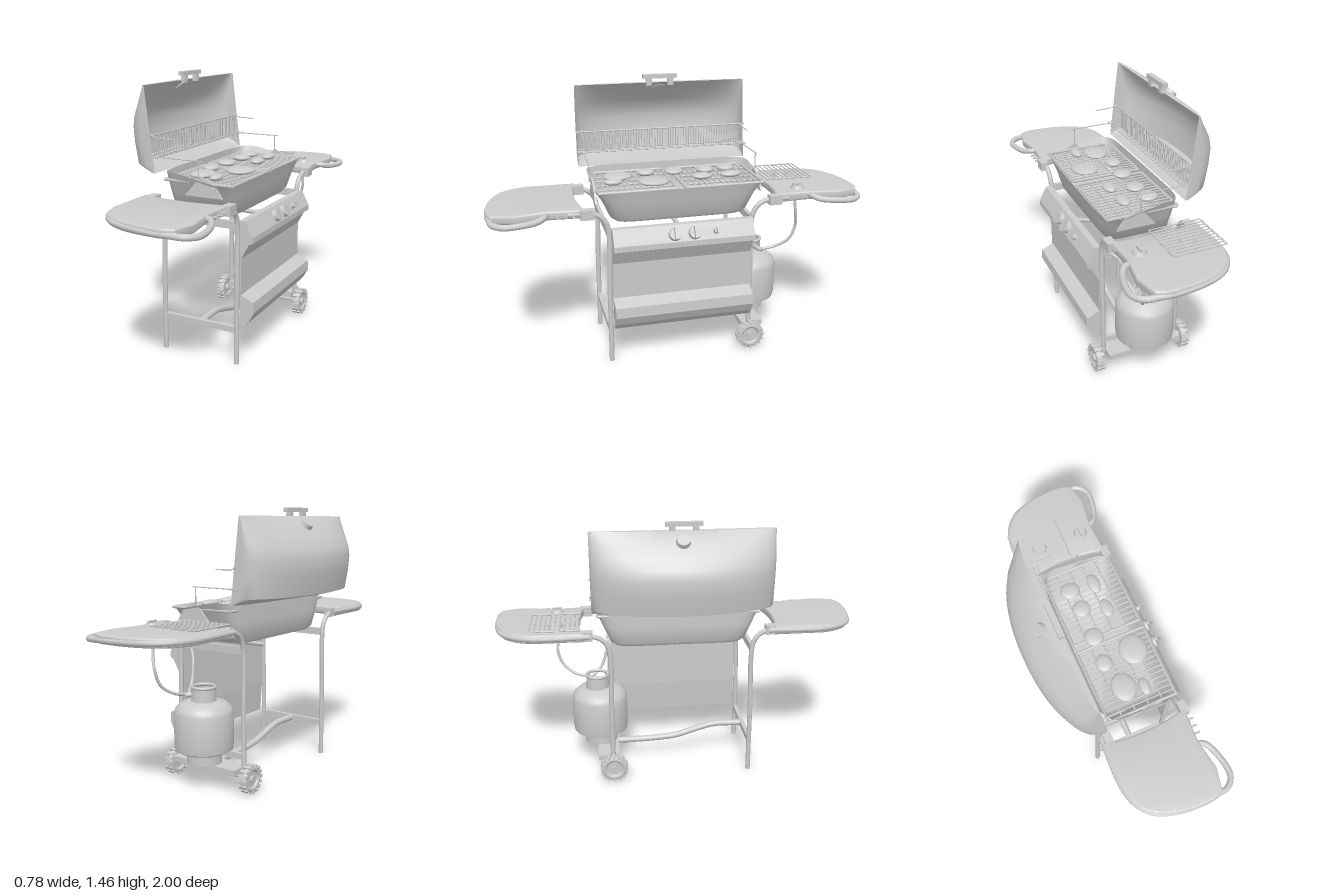
import * as THREE from 'three';
import { mergeGeometries, toCreasedNormals } from 'three/addons/utils/BufferGeometryUtils.js';

const V = (x, y, z) => new THREE.Vector3(x, y, z);
const grey = new THREE.MeshStandardMaterial({ color: 0xcccccc });
const thin = new THREE.MeshStandardMaterial({ color: 0xcccccc, side: THREE.DoubleSide });

export function createModel() {
  const root = new THREE.Group();
  const add = (name, geo, x = 0, y = 0, z = 0, mat = grey) => {
    const m = new THREE.Mesh(geo, mat);
    m.name = name;
    m.position.set(x, y, z);
    root.add(m);
    return m;
  };
  const box = (name, w, h, d, x, y, z) => add(name, new THREE.BoxGeometry(w, h, d), x, y, z);
  // Smooth bent pipe through points [x, y, z]
  const tube = (name, pts, r) => add(name, new THREE.TubeGeometry(
    new THREE.CatmullRomCurve3(pts.map(p => V(...p)), false, 'centripetal'), pts.length * 6, r, 10));
  // Straight rod between two points, as a geometry
  const rod = (a, b, r) => {
    const p = V(...a), q = V(...b), d = q.clone().sub(p);
    const g = new THREE.CylinderGeometry(r, r, d.length(), 6);
    g.applyQuaternion(new THREE.Quaternion().setFromUnitVectors(V(0, 1, 0), d.normalize()));
    return g.translate(...p.add(q).multiplyScalar(0.5).toArray());
  };
  // Skin across rings of equal length
  const loft = (rings, closed) => {
    const n = rings[0].length, idx = [];
    for (let i = 0; i < rings.length - 1; i++)
      for (let j = 0; j < (closed ? n : n - 1); j++) {
        const k = (j + 1) % n, a = i * n + j, b = i * n + k;
        idx.push(a, b, a + n, b, b + n, a + n);
      }
    const g = new THREE.BufferGeometry().setFromPoints(rings.flat());
    g.setIndex(idx);
    g.computeVertexNormals();
    return toCreasedNormals(g, 0.7);
  };

  // Open lid: profile pulled toward its rim plane near the ends
  const profile = [[-0.185, 1.415], [-0.215, 1.415], [-0.265, 1.375], [-0.335, 1.3], [-0.372, 1.25], [-0.388, 1.2],
    [-0.383, 1.12], [-0.36, 1.015], [-0.3, 1.0], [-0.2, 0.983], [-0.133, 0.98]];
  const lidRing = (u, s) => profile.map(([x, y]) => {
    const rim = -0.133 - 0.052 * (y - 0.98) / 0.435;
    return V(rim + s * (x - rim), y, 0.01 + u * 0.475);
  });
  const lidRings = [lidRing(-1, 0)];
  for (let i = 0; i <= 32; i++) {
    const u = -Math.cos(Math.PI * i / 32);
    lidRings.push(lidRing(u, 0.2 + 0.8 * Math.sqrt(Math.max(0, 1 - u * u))));
  }
  lidRings.push(lidRing(1, 0));
  add('lid', loft(lidRings, false), 0, 0, 0, thin);
  box('lidHandleGrip', 0.03, 0.022, 0.19, -0.2, 1.447, 0.012);
  for (const s of [-1, 1]) box('lidHandlePost', 0.025, 0.045, 0.03, -0.2, 1.42, 0.012 + s * 0.06);
  const gauge = add('lidThermometer', new THREE.CylinderGeometry(0.032, 0.038, 0.025, 20), -0.275, 1.375, 0);
  gauge.rotation.z = 0.75;

  // Firebox: rounded rectangular rings, rear rim higher than the front
  const tray = (y, x0, x1, hz, top) => Array.from({ length: 48 }, (_, i) => {
    const a = (i + 0.5) / 48 * Math.PI * 2, c = Math.cos(a), s = Math.sin(a);
    const x = (x0 + x1) / 2 + (x1 - x0) / 2 * Math.sign(c) * Math.abs(c) ** 0.25;
    const z = hz * Math.sign(s) * Math.abs(s) ** 0.25;
    return V(x, top ? y - 0.04 * THREE.MathUtils.smoothstep(x, 0.03, 0.17) : y, z);
  });
  add('firebox', loft([tray(0.77, 0.06, 0.07, 0.01), tray(0.77, -0.1, 0.235, 0.345), tray(0.79, -0.115, 0.25, 0.37),
    tray(0.88, -0.12, 0.27, 0.41), tray(0.985, -0.12, 0.29, 0.455, true)], true), 0, 0, 0, thin);
  for (const s of [-1, 1]) {
    const peak = new THREE.Shape([[0.02, 0.88], [0.11, 0.982], [0.19, 0.94], [0.23, 0.88]].map(p => new THREE.Vector2(...p)));
    add('fireboxEndBracket', new THREE.ExtrudeGeometry(peak, { depth: 0.01, bevelEnabled: false }), 0, 0, s * 0.445 - 0.005);
  }
  tube('burnerTube', [[0, 0.71, 0], [0.1, 0.71, 0], [0.2, 0.71, 0], [0.28, 0.73, 0]], 0.012);

  // Two cooking grates with frames
  for (const [z0, z1] of [[-0.435, -0.015], [0.03, 0.435]]) {
    const bars = [], y = 0.945, x0 = -0.105, x1 = 0.275;
    for (const x of [x0, x1]) bars.push(rod([x, y, z0], [x, y, z1], 0.008));
    for (const z of [z0, z1]) bars.push(rod([x0, y, z], [x1, y, z], 0.008));
    for (let i = 1; i < 14; i++) {
      const z = z0 + (z1 - z0) * i / 14;
      bars.push(rod([x0, y, z], [x1, y, z], 0.004));
    }
    for (let i = 1; i < 5; i++) bars.push(rod([x0 + 0.076 * i, y - 0.006, z0], [x0 + 0.076 * i, y - 0.006, z1], 0.005));
    add('cookingGrate', mergeGeometries(bars));
  }
  // Food: [x, z, half length x, half length z]
  for (const [x, z, a, b] of [[0.015, -0.19, 0.05, 0.05], [0.135, -0.3, 0.035, 0.06], [0, -0.31, 0.055, 0.05], [0.01, -0.015, 0.052, 0.052],
    [0.14, -0.14, 0.035, 0.055], [0.17, 0.13, 0.075, 0.085], [0, 0.14, 0.045, 0.05], [0.04, 0.3, 0.065, 0.08], [0.14, 0.34, 0.03, 0.05]])
    add('food', new THREE.SphereGeometry(1, 18, 10).scale(a, 0.018, b), x, 0.962, z);

  // Warming rack with its end wires
  const rack = [1.055, 1.165].map(y => rod([-0.16, y, -0.475], [-0.16, y, 0.49], 0.004));
  for (let i = 0; i <= 60; i++) {
    const z = -0.46 + 0.015 * i;
    rack.push(rod([-0.16, 1.055, z], [-0.16, 1.165, z], 0.0025));
  }
  for (const x of [-0.18, -0.14, -0.12]) rack.push(rod([x, 1.06, -0.475], [x, 1.06, 0.49], 0.003));
  for (const z of [-0.45, 0.46]) {
    rack.push(rod([-0.18, 1.06, z], [0.125, 1.06, z], 0.003), rod([0.105, 0.96, z], [0.105, 1.06, z], 0.003));
    tube('rackHook', [[-0.165, 1.17, z], [-0.14, 1.158, z], [-0.03, 1.153, z]], 0.003);
  }
  add('warmingRack', mergeGeometries(rack));

  // Control panel and front door as one folded sheet
  const fold = [[0.295, 0.765], [0.32, 0.765], [0.362, 0.685], [0.362, 0.655], [0.34, 0.645], [0.3, 0.57], [0.298, 0.375], [0.368, 0.345],
    [0.372, 0.29], [0.345, 0.24], [0.315, 0.205], [0.3, 0.205], [0.287, 0.38], [0.287, 0.765]];
  add('frontDoor', new THREE.ExtrudeGeometry(new THREE.Shape(fold.map(p => new THREE.Vector2(...p))), { depth: 0.75, bevelEnabled: false }), 0, 0, -0.37);
  for (const [z, r] of [[0.06, 0.036], [-0.045, 0.036], [-0.16, 0.016]]) {
    const k = add('controlKnob', new THREE.CylinderGeometry(r * 0.85, r, 0.025, 20), 0.35, 0.725, z);
    k.rotation.z = -1.087;
    const grip = new THREE.Mesh(new THREE.BoxGeometry(r * 1.6, 0.022, r * 0.4), grey);
    grip.name = 'knobGrip';
    grip.position.y = 0.02;
    k.add(grip);
  }

  // Legs bending outward under the side shelves
  for (const s of [-1, 1]) for (const x of [-0.143, 0.283]) {
    const z = s > 0 ? 0.395 : -0.378, foot = s > 0 ? 0 : 0.06;
    tube('leg', [[x, foot, z], [x, 0.4, z], [x, 0.76, z], [x, 0.81, z + s * 0.02], [x, 0.845, z + s * 0.07], [x, 0.85, z + s * 0.2]], 0.0135);
    box('shelfSocket', 0.045, 0.05, 0.07, x + 0.01, 0.85, s * 0.5);
  }
  for (const z of [0.395, -0.378]) {
    box('upperCrossRail', 0.42, 0.04, 0.02, 0.07, 0.745, z);
    box('lowerCrossRail', 0.42, 0.032, 0.022, 0.07, 0.19, z);
  }
  tube('bottomBrace', [[0.07, 0.19, 0.39], [0.07, 0.19, 0.22], [0.07, 0.165, 0.12], [0.07, 0.13, 0], [0.07, 0.117, -0.15], [0.07, 0.115, -0.4]], 0.018);
  box('tankSupport', 0.42, 0.03, 0.12, 0.07, 0.12, -0.4);
  add('axle', rod([-0.2, 0.078, -0.375], [0.34, 0.078, -0.375], 0.009));

  // Wheels with tread lugs
  for (const x of [-0.183, 0.323]) {
    const parts = [new THREE.TorusGeometry(0.056, 0.017, 10, 28).scale(1, 1, 1.2), new THREE.CylinderGeometry(0.05, 0.05, 0.018, 24).rotateX(Math.PI / 2),
      new THREE.CylinderGeometry(0.02, 0.02, 0.045, 16).rotateX(Math.PI / 2)];
    for (let i = 0; i < 16; i++)
      parts.push(new THREE.BoxGeometry(0.016, 0.012, 0.043).translate(0, 0.071, 0).rotateZ(i * Math.PI / 8));
    add('wheel', mergeGeometries(parts).rotateY(Math.PI / 2), x, 0.078, -0.375);
  }

  // Gas tank, open collar, valve and hose
  const tank = [[0, 0.205], [0.135, 0.205], [0.152, 0.215], [0.156, 0.24], [0.156, 0.41], [0.148, 0.435], [0.12, 0.46], [0.07, 0.477], [0, 0.48]];
  const lathe = (name, pts, mat) => add(name, toCreasedNormals(new THREE.LatheGeometry(pts.map(p => new THREE.Vector2(...p)), 36), 0.8), 0.07, 0, -0.44, mat);
  lathe('gasTank', tank);
  lathe('tankFoot', [[0.085, 0.14], [0.092, 0.14], [0.092, 0.21], [0.085, 0.21], [0.085, 0.14]], thin);
  add('tankCollar', new THREE.CylinderGeometry(0.062, 0.066, 0.07, 28, 1, true, Math.PI * 0.75, Math.PI * 1.5), 0.06, 0.508, -0.45, thin);
  const collarRim = add('collarRim', new THREE.TorusGeometry(0.06, 0.008, 8, 28).rotateX(Math.PI / 2), 0.06, 0.546, -0.45);
  collarRim.scale.y = 1.2;
  add('tankValve', new THREE.CylinderGeometry(0.016, 0.02, 0.05, 14), 0.07, 0.5, -0.45);
  add('valveOutlet', rod([0.07, 0.51, -0.45], [0.14, 0.5, -0.5], 0.014));
  tube('gasHose', [[0.14, 0.505, -0.5], [0.15, 0.52, -0.57], [0.18, 0.57, -0.64], [0.19, 0.65, -0.67], [0.21, 0.73, -0.66], [0.21, 0.84, -0.645]], 0.008);
  tube('burnerHose', [[0.14, 0.5, -0.48], [0.165, 0.56, -0.42], [0.19, 0.67, -0.38], [0.26, 0.72, -0.32]], 0.008);

  // Side shelves with rounded outer ends and a towel rail handle
  for (const s of [-1, 1]) {
    const p = (x, w) => new THREE.Vector2(x, -s * w);
    const sh = new THREE.Shape();
    sh.moveTo(-0.165, 0.52 * -s);
    sh.lineTo(-0.165, 0.77 * -s);
    sh.splineThru([p(-0.14, 0.85), p(-0.08, 0.92), p(0.04, 0.97), p(0.2, 0.985), p(0.275, 0.965)]);
    sh.lineTo(0.3, -s * 0.85);
    sh.lineTo(0.275, -s * 0.7);
    sh.lineTo(0.285, -s * 0.52);
    sh.quadraticCurveTo(0.06, -s * 0.575, -0.165, -s * 0.52);
    const g = new THREE.ExtrudeGeometry(sh, { depth: 0.026, bevelSize: 0.01, bevelThickness: 0.01, bevelSegments: 3, curveSegments: 8 });
    add('sideShelf', toCreasedNormals(g.rotateX(-Math.PI / 2), 0.6), 0, 0.84, 0);
    tube('shelfEdgeRail', [[-0.165, 0.855, s * 0.48], [-0.17, 0.855, s * 0.76], [-0.14, 0.855, s * 0.86], [-0.07, 0.853, s * 0.935],
      [0.05, 0.85, s * 0.975], [0.2, 0.847, s * 0.985], [0.3, 0.845, s * 0.97]], 0.015);
    tube('shelfHandle', [[0.24, 0.845, s * 0.975], [0.32, 0.843, s * 0.965], [0.36, 0.84, s * 0.92], [0.364, 0.84, s * 0.86],
      [0.335, 0.845, s * 0.75], [0.31, 0.855, s * 0.715], [0.27, 0.857, s * 0.7]], 0.016);
  }
  for (const z of [0.57, 0.61, 0.65]) add('toolHook', rod([0.28, 0.85, z], [0.32, 0.85, z], 0.006));

  // Side burner with grate and knob
  add('sideBurner', new THREE.CylinderGeometry(0.034, 0.042, 0.02, 24), -0.04, 0.885, -0.66);
  add('sideBurnerKnob', new THREE.CylinderGeometry(0.03, 0.04, 0.02, 24), 0.21, 0.882, -0.66);
  box('sideKnobGrip', 0.012, 0.018, 0.055, 0.21, 0.895, -0.66);
  const grate = [-0.18, 0.1].map(x => rod([x, 0.9, -0.79], [x, 0.9, -0.53], 0.004));
  for (let i = 0; i <= 10; i++) grate.push(rod([-0.18, 0.9, -0.79 + 0.026 * i], [0.1, 0.9, -0.79 + 0.026 * i], 0.003));
  add('sideBurnerGrate', mergeGeometries(grate));
  return root;
}
